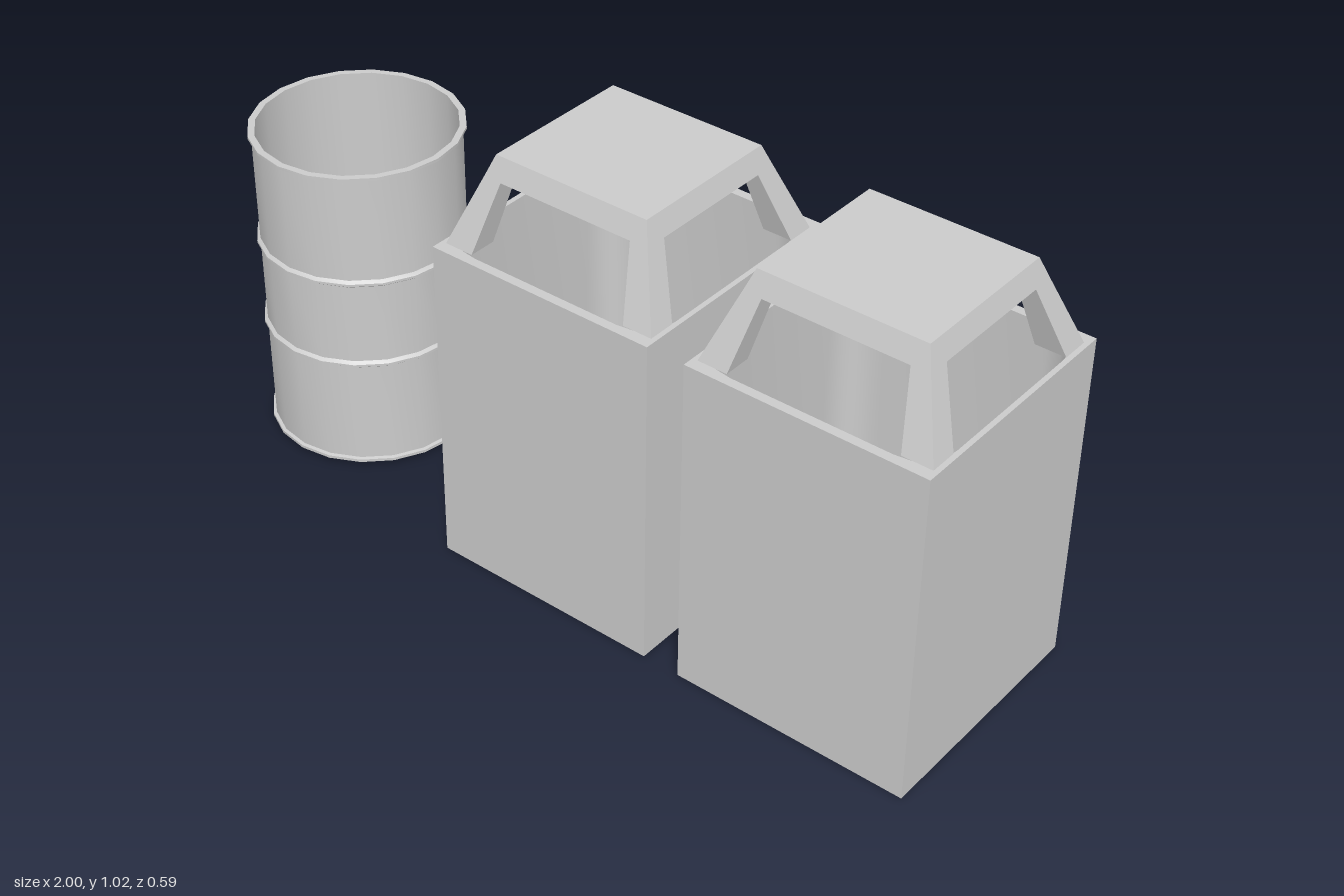
import * as THREE from 'three';
import { toCreasedNormals } from 'three/addons/utils/BufferGeometryUtils.js';

const material = new THREE.MeshStandardMaterial({ color: 0xcccccc });
const doubleSided = new THREE.MeshStandardMaterial({ color: 0xcccccc, side: THREE.DoubleSide });

function part(name, geometry, mat = material) {
  const mesh = new THREE.Mesh(geometry, mat);
  mesh.name = name;
  return mesh;
}

// Box whose bottom and top rectangles are given as [x0, x1, z0, z1]
function taperedBox(y0, y1, bottom, top) {
  const g = new THREE.BoxGeometry(1, 1, 1);
  const p = g.attributes.position;
  for (let i = 0; i < p.count; i++) {
    const up = p.getY(i) > 0;
    const r = up ? top : bottom;
    p.setXYZ(i, p.getX(i) > 0 ? r[1] : r[0], up ? y1 : y0, p.getZ(i) > 0 ? r[3] : r[2]);
  }
  g.computeVertexNormals();
  return g;
}

// Open square sleeve with rounded inner corners
function binBody() {
  const hx = 0.287, hz = 0.295, height = 0.812;
  const ix = hx - 0.012, iz = hz - 0.022, c = 0.085;
  const shape = new THREE.Shape([
    new THREE.Vector2(-hx, -hz), new THREE.Vector2(hx, -hz),
    new THREE.Vector2(hx, hz), new THREE.Vector2(-hx, hz),
  ]);
  const hole = new THREE.Path();
  hole.moveTo(-ix + c, -iz);
  hole.lineTo(ix - c, -iz);
  hole.quadraticCurveTo(ix, -iz, ix, -iz + c);
  hole.lineTo(ix, iz - c);
  hole.quadraticCurveTo(ix, iz, ix - c, iz);
  hole.lineTo(-ix + c, iz);
  hole.quadraticCurveTo(-ix, iz, -ix, iz - c);
  hole.lineTo(-ix, -iz + c);
  hole.quadraticCurveTo(-ix, -iz, -ix + c, -iz);
  shape.holes.push(hole);
  const g = new THREE.ExtrudeGeometry(shape, { depth: height, bevelEnabled: false, curveSegments: 4 });
  g.rotateX(-Math.PI / 2);
  return toCreasedNormals(g, 0.7);
}

function createBin(name, x) {
  const bin = new THREE.Group();
  bin.name = name;
  bin.position.x = x;
  bin.add(part('binBody', binBody()));

  // Hood: four leaning corner posts under a flat cap
  const span = (s, inner, outer) => (s > 0 ? [inner, outer] : [-outer, -inner]);
  for (const sx of [-1, 1]) {
    for (const sz of [-1, 1]) {
      bin.add(part('hoodPost', taperedBox(0.812, 0.97,
        [...span(sx, 0.203, 0.275), ...span(sz, 0.2, 0.267)],
        [...span(sx, 0.171, 0.216), ...span(sz, 0.155, 0.207)])));
    }
  }
  bin.add(part('hoodCap', taperedBox(0.97, 1.02,
    [-0.216, 0.216, -0.207, 0.207], [-0.198, 0.198, -0.188, 0.188])));
  return bin;
}

function createBarrel(x) {
  const barrel = new THREE.Group();
  barrel.name = 'barrel';
  barrel.position.x = x;
  const R = 0.242, r = 0.234, rim = 0.25;
  const rib = (y) => [[R, y - 0.009], [rim, y - 0.003], [rim, y + 0.003], [R, y + 0.009]];
  // Closed floor, ribbed outside, rolled rim, plain inside wall
  const profile = [
    [0, 0.012], [R, 0.012], [rim, 0.012], [rim, 0.019], [R, 0.021],
    ...rib(0.29), ...rib(0.512),
    [R, 0.783], [rim, 0.785], [rim, 0.792], [r, 0.792], [r, 0.022], [0, 0.022],
  ].map(([px, py]) => new THREE.Vector2(px, py));
  const g = toCreasedNormals(new THREE.LatheGeometry(profile, 20), 0.55);
  barrel.add(part('barrelShell', g, doubleSided));
  return barrel;
}

export function createModel() {
  const model = new THREE.Group();
  model.name = 'wasteContainers';
  model.add(createBarrel(-0.75), createBin('middleBin', 0.046), createBin('leftBin', 0.712));
  return model;
}
